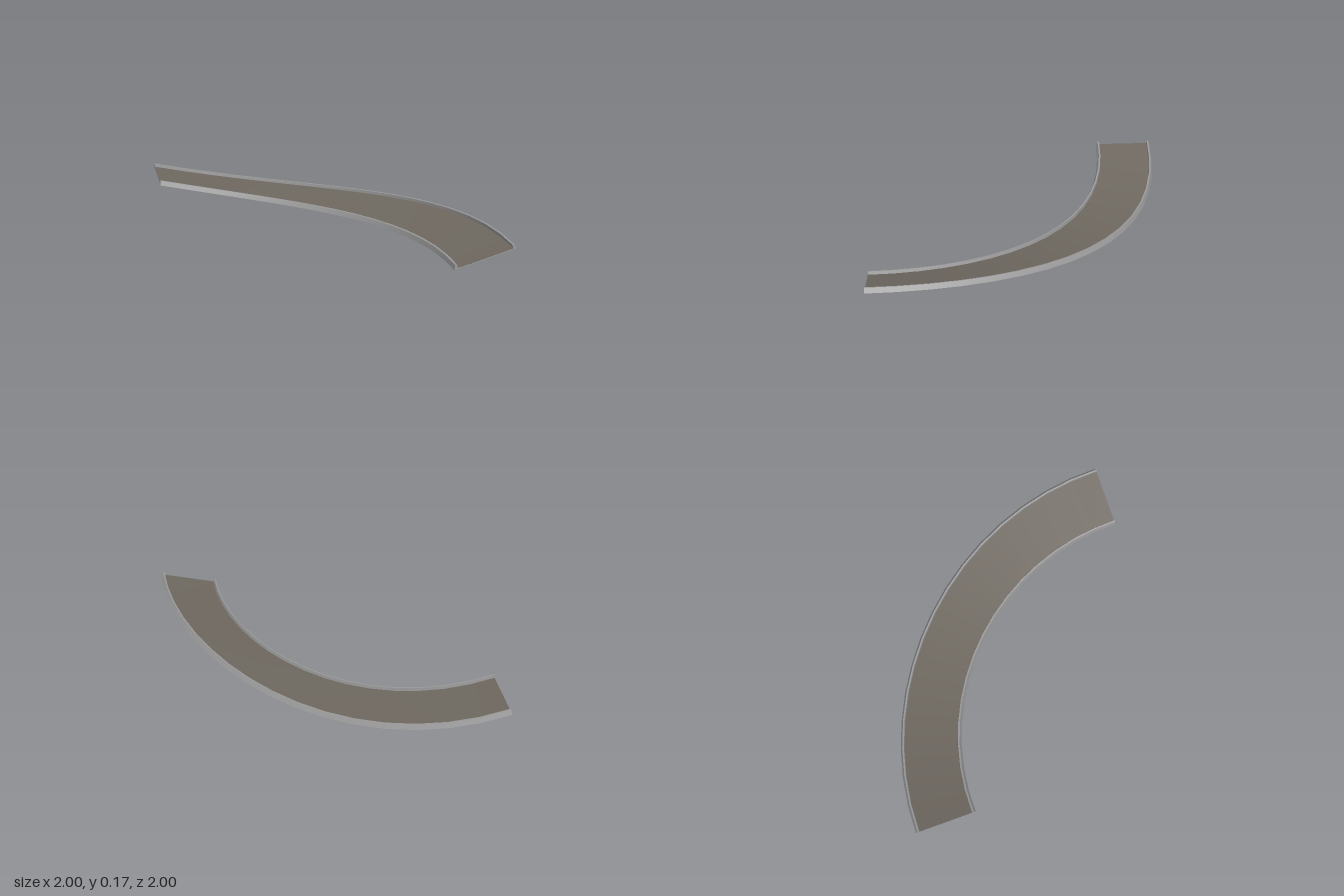
import * as THREE from 'three';
import { toCreasedNormals } from 'three/addons/utils/BufferGeometryUtils.js';

const INNER = 1.6, OUTER = 2, SEGMENTS = 16;

// Sweep a (radius, height) outline through a banked, sagging quarter turn
function sweep(points) {
  const shape = new THREE.Shape(points.map(([r, h]) => new THREE.Vector2(r, h)));
  const geo = new THREE.ExtrudeGeometry(shape, { depth: 1, steps: SEGMENTS, bevelEnabled: false });
  const pos = geo.attributes.position;
  for (let i = 0; i < pos.count; i++) {
    const h = pos.getY(i), angle = pos.getZ(i) * Math.PI / 2;
    const s = Math.sin(angle), c = Math.cos(angle);
    // Height of the inner and outer edges at this angle
    const yIn = 0.115 * (INNER * s - 1.1) ** 2;
    const yOut = 0.012 + 0.127 * (OUTER * s - 1) ** 2;
    const bank = (yOut - yIn) / (OUTER - INNER);
    const r = pos.getX(i);
    const y = yIn + bank * (r - INNER) + h;
    const rTilted = r - h * bank;
    pos.setXYZ(i, -1 + rTilted * s, y, 1 - rTilted * c);
  }
  return toCreasedNormals(geo, 0.35);
}

export function createModel() {
  const group = new THREE.Group();
  const railGray = new THREE.MeshStandardMaterial({ color: 0x999999 });
  railGray.name = 'railGray';
  const roadBrown = new THREE.MeshStandardMaterial({ color: 0x6e6860 });
  roadBrown.name = 'roadBrown';

  const add = (name, points, material) => {
    const mesh = new THREE.Mesh(sweep(points), material);
    mesh.name = name;
    group.add(mesh);
  };

  // Channel with a bevelled kerb on each side
  add('trackBody', [
    [1.6, 0], [2, 0], [1.987, 0.031], [1.976, 0.031], [1.973, 0.008],
    [1.627, 0.008], [1.624, 0.031], [1.613, 0.031],
  ], railGray);

  // Road surface between the kerbs
  add('roadSurface', [
    [1.627, 0.007], [1.973, 0.007], [1.973, 0.011], [1.627, 0.011],
  ], roadBrown);

  return group;
}
